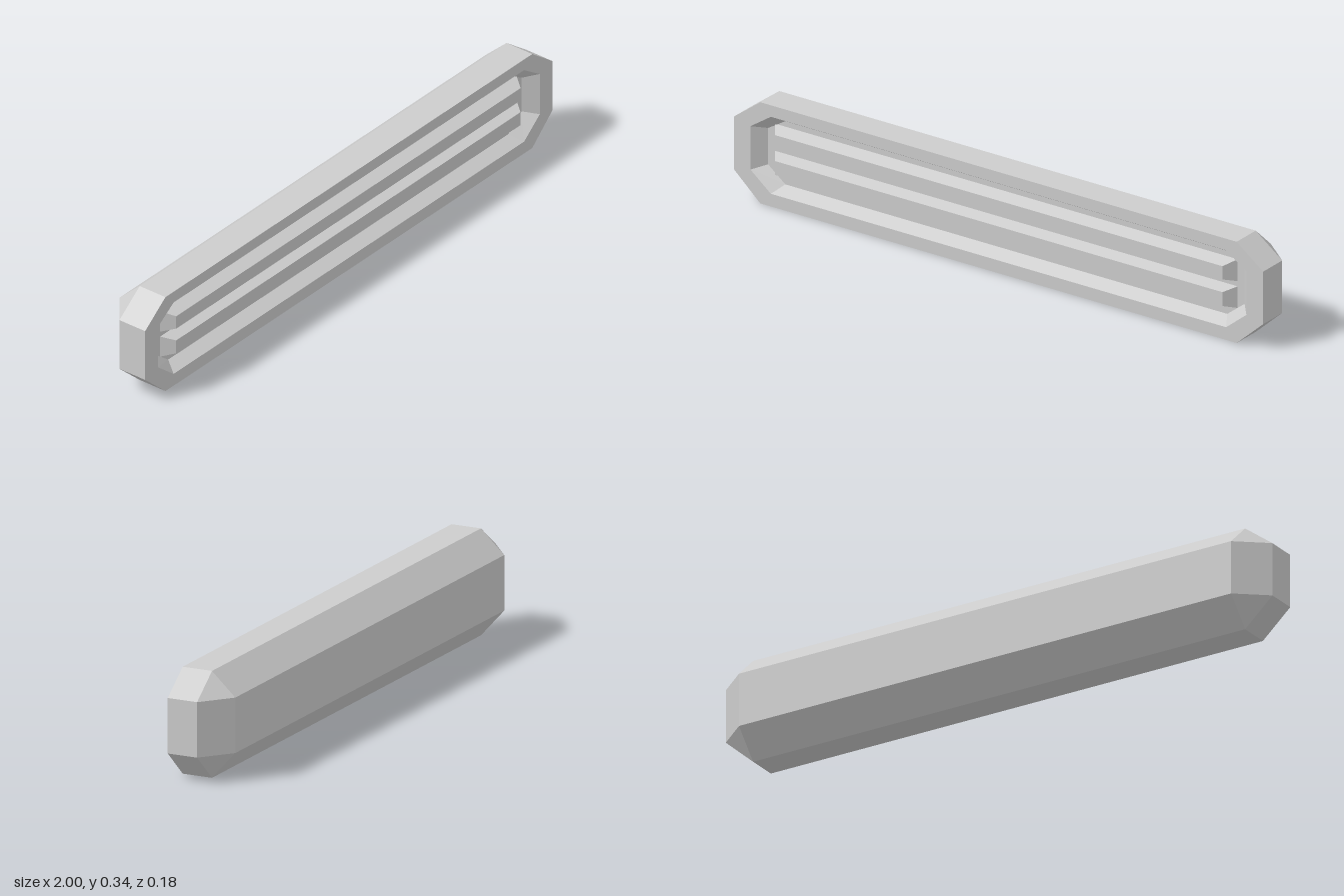
import * as THREE from 'three';

const grey = new THREE.MeshStandardMaterial({ color: 0xcccccc });
grey.name = 'light grey';

// Octagonal ring, counter-clockwise from the front:
// x = half width, cx = half length of the flat edges, y0..y3 = heights upwards
function ring(x, cx, y0, y1, y2, y3, z) {
  return [[-cx, y0], [cx, y0], [x, y1], [x, y2], [cx, y3], [-cx, y3], [-x, y2], [-x, y1]]
    .map(([px, py]) => new THREE.Vector3(px, py, z));
}

// Flat-faced surface through successive rings, closed at both ends
function loft(rings) {
  const pos = [];
  const tri = (a, b, c) => {
    const area = b.clone().sub(a).cross(c.clone().sub(a)).length();
    if (area > 1e-7) for (const p of [a, b, c]) pos.push(p.x, p.y, p.z);
  };
  for (let r = 0; r < rings.length - 1; r++) {
    const a = rings[r], b = rings[r + 1];
    for (let i = 0; i < a.length; i++) {
      const j = (i + 1) % a.length;
      tri(a[i], a[j], b[j]);
      tri(a[i], b[j], b[i]);
    }
  }
  const first = rings[0], last = rings[rings.length - 1];
  for (let i = 1; i < first.length - 1; i++) {
    tri(first[0], first[i + 1], first[i]);
    tri(last[0], last[i], last[i + 1]);
  }
  const geo = new THREE.BufferGeometry();
  geo.setAttribute('position', new THREE.Float32BufferAttribute(pos, 3));
  geo.computeVertexNormals();
  return geo;
}

// Bar whose front face is smaller than its base
function taperedBar(baseX, frontX, base, front, zBack, zFront) {
  return loft([
    ring(baseX, baseX, base[0], base[0], base[1], base[1], zBack),
    ring(frontX, frontX, front[0], front[0], front[1], front[1], zFront),
  ]);
}

export function createModel() {
  const group = new THREE.Group();
  const add = (name, geo) => {
    const mesh = new THREE.Mesh(geo, grey);
    mesh.name = name;
    group.add(mesh);
  };

  // Housing: tapered back, straight sides, front rim and sloped recess
  add('housing', loft([
    ring(0.9, 0.9, 0.09, 0.09, 0.268, 0.268, -0.091),
    ring(1, 0.9, 0, 0.09, 0.268, 0.343, -0.01),
    ring(1, 0.9, 0, 0.09, 0.268, 0.343, 0.092),
    ring(0.937, 0.86, 0.043, 0.105, 0.252, 0.304, 0.092),
    ring(0.9, 0.835, 0.066, 0.117, 0.24, 0.28, 0.05),
  ]));

  // Two horizontal slats in the recess
  add('upperSlat', taperedBar(0.875, 0.845, [0.187, 0.262], [0.2, 0.245], 0.049, 0.09));
  add('lowerSlat', taperedBar(0.875, 0.845, [0.096, 0.17], [0.11, 0.157], 0.049, 0.09));

  return group;
}
